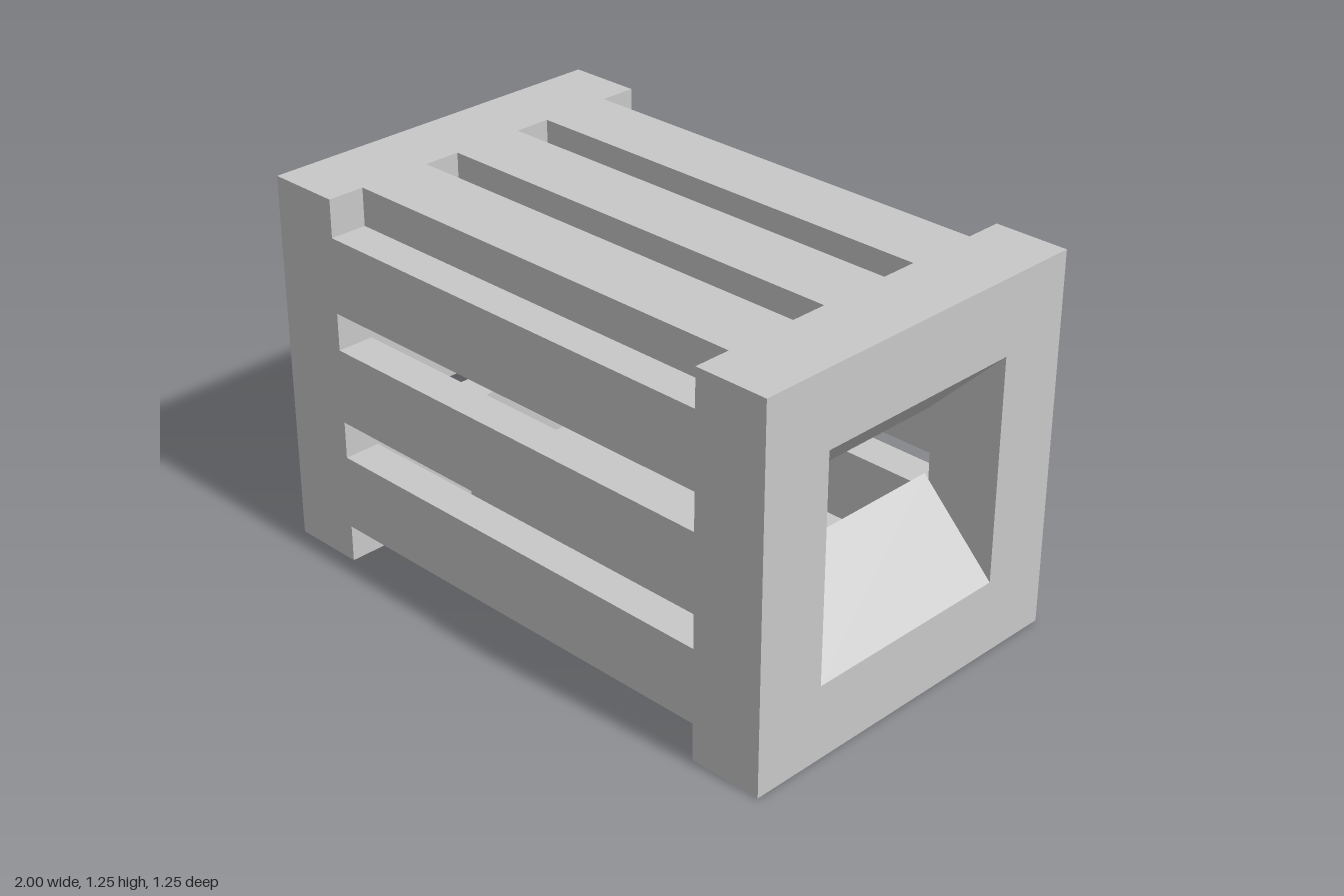
import * as THREE from 'three';

const H = 1.25, HALF_W = 0.625, T = 0.125; // crate height, half depth, board thickness

// Rectangle path in the end plane (u runs along the depth, v is up)
function rect(PathType, u, v0, v1) {
  const p = new PathType();
  p.moveTo(-u, v0);
  p.lineTo(u, v0);
  p.lineTo(u, v1);
  p.lineTo(-u, v1);
  p.closePath();
  return p;
}

// End panel from x0 to x1 with rectangular openings [v0, v1]
function endPanel(name, x0, x1, openings, material) {
  const shape = rect(THREE.Shape, HALF_W, 0, H);
  for (const [v0, v1] of openings) shape.holes.push(rect(THREE.Path, 0.375, v0, v1));
  const geometry = new THREE.ExtrudeGeometry(shape, { depth: x1 - x0, bevelEnabled: false });
  geometry.rotateY(Math.PI / 2);
  geometry.translate(x0, 0, 0);
  const mesh = new THREE.Mesh(geometry, material);
  mesh.name = name;
  return mesh;
}

export function createModel() {
  const group = new THREE.Group();
  group.name = 'slattedCrate';
  const grey = new THREE.MeshStandardMaterial({ color: 0xc8c8c8 });
  grey.name = 'plain grey';

  // End frames: open entrance on the left, barred opening on the right
  group.add(endPanel('entranceFrame', 0.75, 1, [[0.25, 1]], grey));
  group.add(endPanel('rearFrame', -1, -0.875, [[0.25, 1]], grey));
  group.add(endPanel('rearGrille', -0.875, -0.75, [[0.375, 0.5], [0.75, 0.875]], grey));

  // Three long slats on each of the four sides
  const addSlat = (name, h, d, y, z) => {
    const slat = new THREE.Mesh(new THREE.BoxGeometry(1.5, h, d), grey);
    slat.name = name;
    slat.position.set(0, y, z);
    group.add(slat);
  };
  for (const offset of [-0.375, 0, 0.375]) {
    for (const s of [-1, 1]) {
      addSlat(s > 0 ? 'frontSlat' : 'backSlat', 0.25, T, H / 2 + offset, s * (HALF_W - T / 2));
      addSlat(s > 0 ? 'topSlat' : 'bottomSlat', T, 0.25, H / 2 + s * (H / 2 - T / 2), offset);
    }
  }

  // Sloping funnel boards behind the entrance, mirrored about mid height
  for (const s of [-1, 1]) {
    const profile = [[1, 0.375], [0.735, 0.11], [0.647, 0.198], [0.912, 0.463]];
    const shape = new THREE.Shape(profile.map(([x, v]) => new THREE.Vector2(x, H / 2 + s * v)));
    const geometry = new THREE.ExtrudeGeometry(shape, { depth: 0.75, bevelEnabled: false });
    geometry.translate(0, 0, -0.375);
    const board = new THREE.Mesh(geometry, grey);
    board.name = s > 0 ? 'upperFunnelBoard' : 'lowerFunnelBoard';
    group.add(board);
  }

  return group;
}
